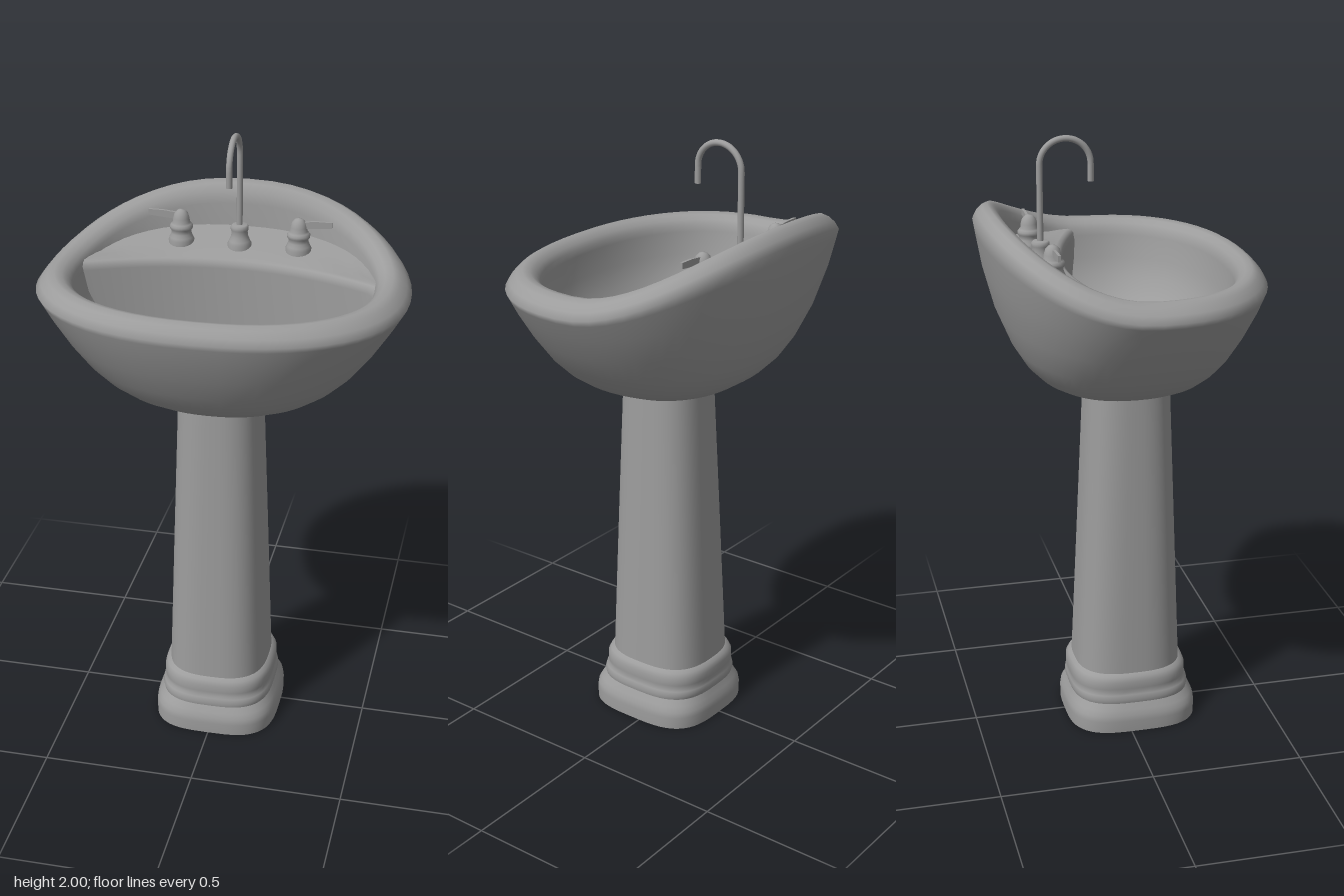
import * as THREE from 'three';

const material = new THREE.MeshStandardMaterial({ color: 0x9c9c9c });

function addMesh(parent, name, geometry) {
  const mesh = new THREE.Mesh(geometry, material);
  mesh.name = name;
  parent.add(mesh);
  return mesh;
}

// Skin a grid of points; closed joins the last column to the first.
function skin(rows, closed) {
  const n = rows[0].length, index = [];
  for (let i = 0; i < rows.length - 1; i++) {
    for (let j = 0; j < (closed ? n : n - 1); j++) {
      const k = (j + 1) % n;
      const a = i * n + j, b = (i + 1) * n + j, c = (i + 1) * n + k, d = i * n + k;
      index.push(a, b, d, b, c, d);
    }
  }
  const geometry = new THREE.BufferGeometry();
  geometry.setAttribute('position', new THREE.Float32BufferAttribute(rows.flat(2), 3));
  geometry.setIndex(index);
  geometry.computeVertexNormals();
  return geometry;
}

// Superellipse ring; lift raises its back edge.
function ring(hx, hz, y, power, lift = 0, zOffset = 0, segments = 56) {
  const bend = (v) => Math.sign(v) * Math.abs(v) ** (2 / power);
  return Array.from({ length: segments }, (_, j) => {
    const a = (j / segments) * Math.PI * 2;
    const s = bend(Math.sin(a));
    return [hx * bend(Math.cos(a)), y + (s < 0 ? lift * s * s : 0), hz * s + zOffset];
  });
}

function lathe(points) {
  return new THREE.LatheGeometry(points.map(([r, y]) => new THREE.Vector2(r, y)), 24);
}

export function createModel() {
  const model = new THREE.Group();
  model.name = 'pedestalSink';

  // Pedestal: stepped foot and tapering column; repeated rings keep edges crisp
  const pedestal = [
    // half width, half depth, y, z offset, squareness
    [0, 0, 0, 0.03, 3.3], [0.21, 0.22, 0, 0.03, 3.3], [0.21, 0.22, 0, 0.03, 3.3],
    [0.211, 0.221, 0.04, 0.03, 3.3], [0.208, 0.218, 0.06, 0.03, 3.3],
    [0.2, 0.21, 0.077, 0.03, 3.2], [0.189, 0.2, 0.098, 0.028, 3],
    [0.189, 0.2, 0.098, 0.028, 3], [0.192, 0.203, 0.112, 0.027, 3],
    [0.188, 0.2, 0.128, 0.026, 3], [0.183, 0.195, 0.135, 0.025, 2.9],
    [0.186, 0.197, 0.15, 0.024, 2.9], [0.186, 0.197, 0.175, 0.024, 2.9],
    [0.18, 0.19, 0.192, 0.024, 2.8], [0.168, 0.178, 0.2, 0.024, 2.8],
    [0.168, 0.178, 0.2, 0.024, 2.8], [0.152, 0.158, 0.7, 0.026, 2.7],
    [0.135, 0.138, 1.22, 0.028, 2.5],
  ];
  addMesh(model, 'pedestal', skin(
    pedestal.map(([x, z, y, o, p]) => ring(x, z, y, p, 0, o)), true));

  // Basin: outer shell, rolled rim raised at the back, then the inner bowl
  const basin = [
    // half width, half depth, y, back lift
    [0, 0, 1.197, 0], [0.14, 0.14, 1.198, 0], [0.21, 0.19, 1.203, 0],
    [0.27, 0.23, 1.217, 0], [0.33, 0.27, 1.243, 0], [0.385, 0.308, 1.28, 0.002],
    [0.44, 0.345, 1.332, 0.01], [0.5, 0.388, 1.41, 0.035], [0.55, 0.423, 1.488, 0.09],
    [0.58, 0.441, 1.54, 0.145], [0.59, 0.447, 1.558, 0.165],
    [0.574, 0.435, 1.58, 0.168], [0.552, 0.417, 1.6, 0.166], [0.53, 0.4, 1.61, 0.165],
    [0.505, 0.38, 1.605, 0.16], [0.487, 0.363, 1.592, 0.15], [0.477, 0.352, 1.575, 0.13],
    [0.472, 0.349, 1.555, 0.04], [0.458, 0.337, 1.48, 0], [0.435, 0.317, 1.42, 0],
    [0.395, 0.285, 1.36, 0], [0.34, 0.245, 1.315, 0], [0.26, 0.185, 1.278, 0],
    [0.15, 0.11, 1.255, 0], [0, 0, 1.25, 0],
  ];
  addMesh(model, 'basin', skin(
    basin.map(([x, z, y, lift]) => ring(x, z, y, 2.28, lift)), true));

  // Faucet deck: rises gently to the back, curved front lip, wall dropping into the bowl
  const deckY = (z) => 1.582 + 0.25 * Math.max(0, -0.16 - z);
  const deckRows = [];
  for (let i = 0; i <= 40; i++) {
    const x = 0.472 * (1 - i / 20);
    const back = -0.355 * (1 - Math.abs(x / 0.479) ** 2.28) ** (1 / 2.28);
    const front = -0.162 + 0.122 * (x / 0.48) ** 2;
    const bottom = 1.24 + 0.3 * (x / 0.472) ** 8;
    const top = [0, 0.33, 0.66, 1].map((t) => {
      const z = THREE.MathUtils.lerp(back, front - 0.02, t);
      return [x, deckY(z), z];
    });
    deckRows.push([
      ...top,
      [x, 1.578, front - 0.008],
      [x, 1.568, front],
      [x, 1.552, front + 0.003],
      [x, bottom, front + 0.006],
    ]);
  }
  addMesh(model, 'faucetDeck', skin(deckRows, false));

  // Drain: raised ring around a sunken stopper
  const drain = addMesh(model, 'drain', lathe([
    [0.066, -0.005], [0.065, 0.006], [0.058, 0.011], [0.048, 0.009],
    [0.043, 0.004], [0.041, 0.004], [0.038, 0.01], [0, 0.012]]));
  drain.position.set(0, 1.252, 0.01);

  // Gooseneck spout on a flared base
  const spout = new THREE.Group();
  spout.name = 'spout';
  spout.position.set(0, 0, -0.248);
  model.add(spout);
  addMesh(spout, 'spoutBase', lathe([
    [0.04, 1.585], [0.039, 1.61], [0.034, 1.62], [0.028, 1.634],
    [0.026, 1.65], [0.029, 1.657], [0.029, 1.667], [0.024, 1.673], [0, 1.674]]));
  const path = new THREE.CurvePath();
  const arc = Array.from({ length: 17 }, (_, i) => {
    const a = Math.PI * (1 - i / 16);
    return new THREE.Vector3(0, 1.91 + 0.08 * Math.sin(a), 0.081 + 0.081 * Math.cos(a));
  });
  path.add(new THREE.LineCurve3(new THREE.Vector3(0, 1.64, 0), arc[0]));
  path.add(new THREE.CatmullRomCurve3(arc));
  path.add(new THREE.LineCurve3(arc[16], new THREE.Vector3(0, 1.853, 0.162)));
  addMesh(spout, 'spoutTube', new THREE.TubeGeometry(path, 80, 0.01, 12));
  const tip = addMesh(spout, 'spoutTip', new THREE.CircleGeometry(0.01, 12));
  tip.rotation.x = Math.PI / 2;
  tip.position.set(0, 1.853, 0.162);

  // Pair of tap handles with outward levers
  const leverShape = new THREE.Shape([
    [0, 1.675], [0.04, 1.678], [0.108, 1.684], [0.108, 1.703], [0.06, 1.703], [0, 1.697],
  ].map(([x, y]) => new THREE.Vector2(x, y)));
  for (const side of [-1, 1]) {
    const tap = new THREE.Group();
    tap.name = side > 0 ? 'leftTap' : 'rightTap';
    tap.position.set(side * 0.194, 0, -0.248);
    tap.rotation.y = side > 0 ? 0 : Math.PI;
    model.add(tap);
    addMesh(tap, 'tapBase', lathe([
      [0.042, 1.585], [0.042, 1.609], [0.038, 1.618], [0.033, 1.63], [0.032, 1.64],
      [0.037, 1.646], [0.038, 1.655], [0.033, 1.662], [0.028, 1.667], [0.027, 1.68],
      [0.022, 1.697], [0.012, 1.707], [0, 1.71]]));
    const lever = addMesh(tap, 'tapLever',
      new THREE.ExtrudeGeometry(leverShape, { depth: 0.009, bevelEnabled: false }));
    lever.position.z = -0.0045;
  }

  return model;
}
